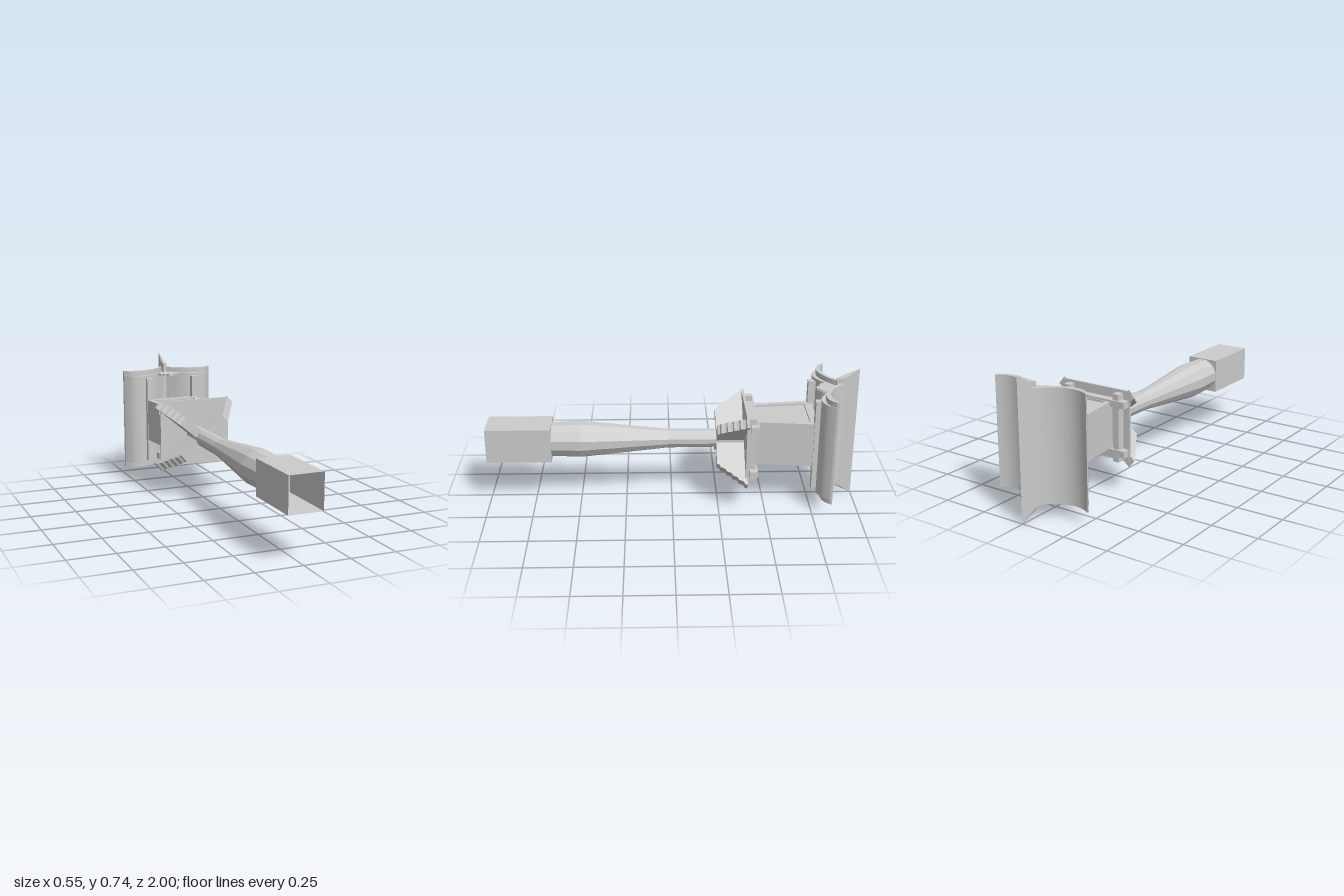
import * as THREE from 'three';
import { toCreasedNormals } from 'three/addons/utils/BufferGeometryUtils.js';

// A stone lantern lying on its back. It is modelled upright (local y = height along
// the axis, local z = final y) and then tipped over by the group.
export function createModel() {
  const model = new THREE.Group();
  const lantern = new THREE.Group();
  lantern.name = 'lantern';
  lantern.rotation.x = -Math.PI / 2;
  model.add(lantern);

  const mat = new THREE.MeshStandardMaterial({ color: 0xcccccc, side: THREE.DoubleSide });
  const flat = new THREE.MeshStandardMaterial({ color: 0xcccccc, side: THREE.DoubleSide, flatShading: true });

  const add = (name, geo, material = flat, parent = lantern) => {
    const mesh = new THREE.Mesh(geo, material);
    mesh.name = name;
    parent.add(mesh);
    return mesh;
  };
  const box = (name, x0, x1, y0, y1, z0, z1) => {
    const mesh = add(name, new THREE.BoxGeometry(x1 - x0, y1 - y0, z1 - z0));
    mesh.position.set((x0 + x1) / 2, (y0 + y1) / 2, (z0 + z1) / 2);
    return mesh;
  };
  const shapeOf = (pts) => new THREE.Shape(pts.map(([x, y]) => new THREE.Vector2(x, y)));
  // Extrusion along z between z0 and z1
  const prism = (shape, z0, z1) =>
    new THREE.ExtrudeGeometry(shape, { depth: z1 - z0, bevelEnabled: false }).translate(0, 0, z0);

  const CX = 0.007, CZ = 0.346; // axis of the post
  const RX = 0.003, RZ = 0.368; // axis of the lamp house and roof

  // Hollow foot, open at the bottom
  const foot = new THREE.BoxGeometry(0.185, 0.35, 0.19).toNonIndexed();
  const keep = [];
  const fp = foot.attributes.position;
  for (let i = 0; i < fp.count; i += 3) {
    const bottom = [0, 1, 2].every((k) => fp.getY(i + k) < 0);
    if (!bottom) for (let k = 0; k < 3; k++) keep.push(i + k);
  }
  foot.setIndex(keep);
  add('foot', foot).position.set(CX, -0.825, CZ);

  // Twelve-sided post, swelling near the foot
  const post = new THREE.LatheGeometry(
    [[0.0, -0.652], [0.093, -0.652], [0.1, -0.49], [0.052, -0.02], [0.05, 0.4]]
      .map(([r, y]) => new THREE.Vector2(r, y)), 12, Math.PI / 12);
  add('post', post).position.set(CX, 0, CZ);

  // Four scalloped diagonal brackets
  const steps = 5, outline = [[0, 0.24], [0.165, 0.24]];
  for (let i = 0; i < steps; i++) {
    const r = 0.165 + i * 0.025, h = 0.24 + i * 0.032;
    outline.push([r + 0.007, h + 0.013], [r + 0.021, h + 0.019], [r + 0.025, h + 0.032]);
  }
  outline.push([0, 0.4]);
  for (const a of [40, 140, 220, 320]) {
    const arm = add('bracket', prism(shapeOf(outline), -0.026, 0.026));
    arm.position.set(CX, 0, CZ);
    arm.rotation.y = THREE.MathUtils.degToRad(a);
  }

  // Platform plate and the crossed rails on it
  box('platform', CX - 0.21, CX + 0.21, 0.39, 0.402, 0.167, 0.545);
  for (const s of [-1, 1]) {
    const x = CX + s * 0.155, z = 0.353 + s * 0.13;
    box('longRail', x - 0.018, x + 0.018, 0.402, 0.445, 0.172, 0.532);
    box('crossRail', CX - 0.212, CX + 0.212, 0.412, 0.455, z - 0.018, z + 0.018);
  }

  // Lamp house, widening upwards, with framed recesses on two faces
  const h0 = 0.4, h1 = 0.775, w0 = 0.117, w1 = 0.162;
  const house = new THREE.BoxGeometry(2, h1 - h0, 0.224);
  const hp = house.attributes.position;
  for (let i = 0; i < hp.count; i++) hp.setX(i, hp.getX(i) * (hp.getY(i) > 0 ? w1 : w0));
  house.computeVertexNormals();
  add('lampHouse', house).position.set(RX, (h0 + h1) / 2, RZ);
  const frame = shapeOf([[-w0, h0], [w0, h0], [w1, h1], [-w1, h1]]);
  frame.holes.push(new THREE.Path(
    [[-0.098, 0.46], [-0.125, 0.732], [0.125, 0.732], [0.098, 0.46]].map(([x, y]) => new THREE.Vector2(x, y))));
  for (const z of [-0.123, 0.111])
    add('windowFrame', prism(frame, z, z + 0.012)).position.set(RX, 0, RZ);

  // Beams carrying the roof
  for (const s of [-1, 1]) {
    const x = RX + 0.003 + s * 0.144;
    box('roofBeam', x - 0.02, x + 0.02, 0.75, 0.79, 0.115, 0.62);
  }

  // Swept roof: a wide upper shell over a shorter lower shell
  const curve = (pts) => new THREE.SplineCurve(pts.map(([x, y]) => new THREE.Vector2(x, y))).getPoints(18);
  const upper = curve([[0, 0.95], [0.032, 0.905], [0.08, 0.86], [0.14, 0.83], [0.195, 0.823], [0.24, 0.832], [0.277, 0.85]]);
  const middle = curve([[0, 0.92], [0.03, 0.88], [0.08, 0.837], [0.14, 0.805], [0.195, 0.798], [0.24, 0.809], [0.274, 0.838]]);
  const lower = curve([[0, 0.89], [0.03, 0.86], [0.08, 0.815], [0.14, 0.782], [0.19, 0.777], [0.235, 0.793], [0.265, 0.825]]);
  const shell = (name, top, under, z0, z1) => {
    for (const s of [-1, 1]) {
      const pts = [...top, ...[...under].reverse()].map((p) => new THREE.Vector2(p.x * s, p.y));
      add(name, toCreasedNormals(prism(new THREE.Shape(pts), z0, z1), 0.5), mat);
    }
  };
  shell('roofShell', upper, middle, 0.073, 0.663);
  shell('roofLining', middle, lower, 0.1, 0.635);

  // Ridge with a sharp crest, longer at its top than at its base
  const ridge = prism(shapeOf([[-0.011, 0.88], [0.011, 0.88], [0.013, 0.925], [0, 1], [-0.013, 0.925]]), -1, 1);
  const rp = ridge.attributes.position;
  for (let i = 0; i < rp.count; i++) {
    const half = 0.315 + 0.056 * Math.max(0, (rp.getY(i) - 0.915) / 0.085);
    rp.setZ(i, 0.371 + Math.sign(rp.getZ(i)) * half);
  }
  add('ridge', ridge).position.x = RX;

  // Lobed pendants under both gables
  const half = [[0.014, 0.775], [0.022, 0.795], [0.036, 0.79], [0.044, 0.806], [0.056, 0.802], [0.061, 0.822], [0.055, 0.845]];
  const lobes = shapeOf([...half, [0, 0.885], ...half.map(([x, y]) => [-x, y]).reverse()]);
  for (const z of [0.102, 0.625])
    add('gablePendant', prism(lobes, z, z + 0.012)).position.x = RX;

  return model;
}
